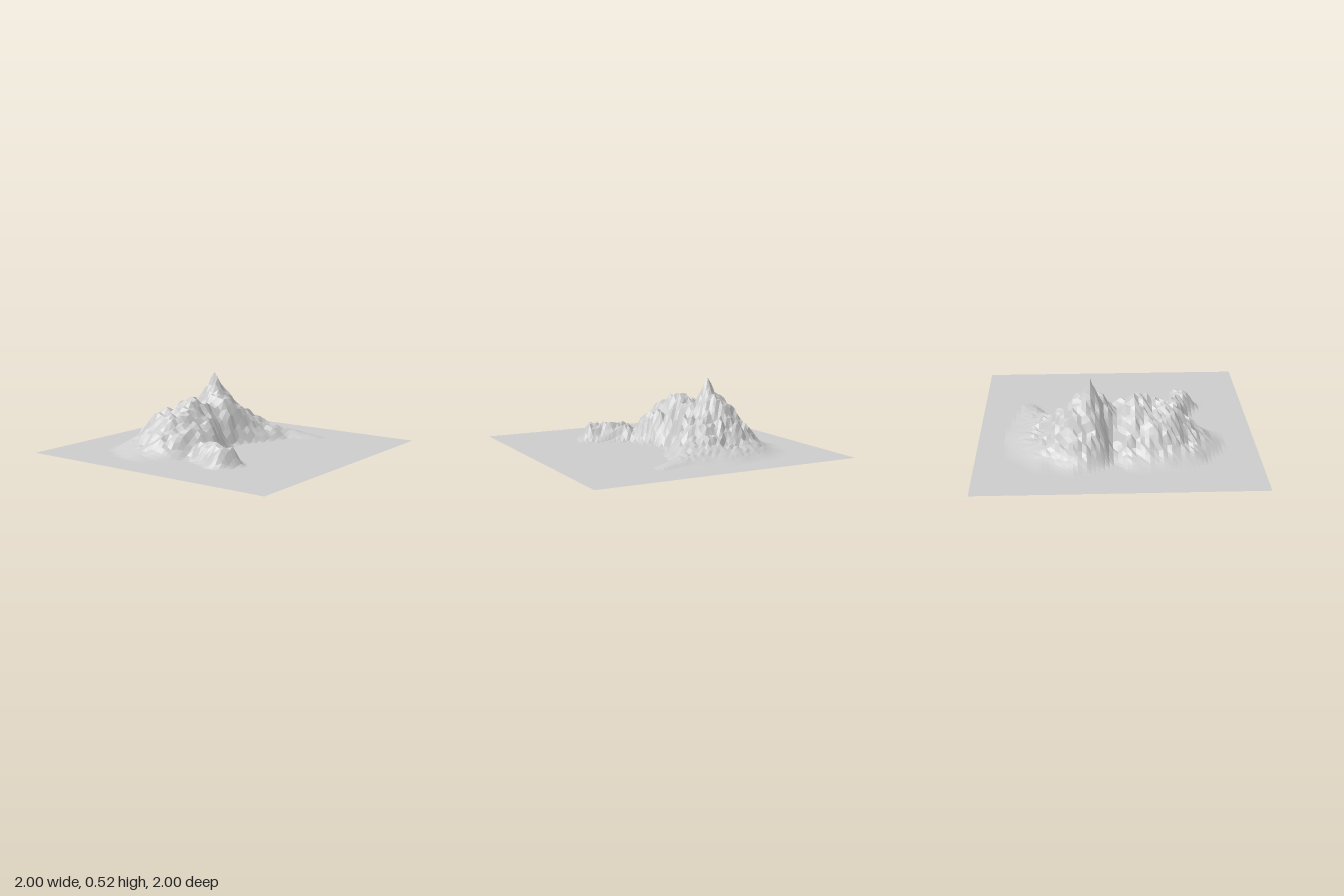
import * as THREE from 'three';

const GRID = 64;
const { lerp, smoothstep, clamp } = THREE.MathUtils;

// Cross-sections along z: [z, west foot x, ridge x, ridge height, shoulder x, shoulder height, east foot x]
const SECTIONS = [
  [-0.80, -0.45, -0.20, 0.00, 0.00, 0.00, 0.10],
  [-0.74, -0.58, -0.20, 0.02, 0.10, 0.012, 0.22],
  [-0.67, -0.64, -0.20, 0.05, 0.15, 0.045, 0.42],
  [-0.60, -0.69, -0.20, 0.09, 0.15, 0.06, 0.40],
  [-0.50, -0.73, -0.22, 0.16, 0.05, 0.09, 0.20],
  [-0.40, -0.76, -0.25, 0.25, 0.00, 0.13, 0.16],
  [-0.30, -0.78, -0.27, 0.37, -0.05, 0.21, 0.14],
  [-0.20, -0.77, -0.27, 0.45, -0.08, 0.26, 0.07],
  [-0.10, -0.67, -0.22, 0.39, -0.10, 0.27, 0.02],
  [-0.02, -0.61, -0.19, 0.28, -0.09, 0.21, 0.00],
  [0.08, -0.73, -0.20, 0.34, -0.08, 0.25, 0.03],
  [0.20, -0.76, -0.20, 0.35, -0.04, 0.22, 0.11],
  [0.30, -0.74, -0.22, 0.33, 0.00, 0.15, 0.16],
  [0.40, -0.73, -0.24, 0.30, -0.04, 0.15, 0.14],
  [0.50, -0.72, -0.28, 0.18, -0.10, 0.14, 0.04],
  [0.60, -0.67, -0.30, 0.09, -0.15, 0.08, -0.02],
  [0.70, -0.55, -0.30, 0.03, -0.20, 0.02, -0.10],
  [0.78, -0.40, -0.30, 0.00, -0.22, 0.00, -0.15],
];

// Repeatable lattice value in -1..1
function hash(i, j) {
  let n = Math.imul(i + 101, 374761393) ^ Math.imul(j + 211, 668265263);
  n = Math.imul(n ^ (n >>> 13), 1274126177);
  return ((n ^ (n >>> 16)) >>> 0) / 2147483648 - 1;
}

function noise(x, z) {
  const i = Math.floor(x), j = Math.floor(z);
  const u = smoothstep(x - i, 0, 1), v = smoothstep(z - j, 0, 1);
  return lerp(lerp(hash(i, j), hash(i + 1, j), u), lerp(hash(i, j + 1), hash(i + 1, j + 1), u), v);
}

// Smooth massif: gentle western flank, broken eastern cliff
function massif(x, z) {
  const k = SECTIONS.findIndex((s) => s[0] > z);
  if (k < 1) return 0;
  const a = SECTIONS[k - 1], b = SECTIONS[k];
  const t = (z - a[0]) / (b[0] - a[0]);
  const [, west, ridge, top, shoulder, step, east] = a.map((v, i) => lerp(v, b[i], t));
  if (x <= west || x >= east) return 0;
  if (x < ridge) return top * smoothstep(x, west, ridge);
  if (x < shoulder) return lerp(top, step, (x - ridge) / (shoulder - ridge));
  return step * (1 - (x - shoulder) / (east - shoulder));
}

// Low rocky spur reaching out at the front
function spur(x, z) {
  const ax = 0.12, az = 0.42, dx = 0.19, dz = 0.08;
  const t = clamp(((x - ax) * dx + (z - az) * dz) / (dx * dx + dz * dz), 0, 1);
  const d = Math.hypot(x - ax - t * dx, z - az - t * dz);
  return 0.12 * (1 - smoothstep(d, 0.03, 0.15));
}

function height(x, z, i, j) {
  const wx = x + 0.02 * noise(x * 9 + 40, z * 9);
  const wz = z + 0.02 * noise(x * 9, z * 9 + 40);
  const h = Math.max(massif(wx, wz), spur(wx, wz));
  if (h <= 0) return 0;
  // Crags fade out toward the smooth skirt
  const rough = smoothstep(h, 0.01, 0.14);
  const crags = 0.025 * noise(x * 8, z * 8) + 0.02 * noise(x * 16, z * 16) + 0.02 * hash(i, j);
  // Sharp summit
  const summit = 0.05 * Math.max(0, 1 - Math.hypot(x + 0.28, z + 0.19) / 0.06);
  return Math.max(0, h + rough * (crags - 0.003) + summit);
}

export function createModel() {
  const group = new THREE.Group();
  group.name = 'mountainTerrain';

  // Ground sheet raised into the mountain
  const geometry = new THREE.PlaneGeometry(2, 2, GRID, GRID).rotateX(-Math.PI / 2);
  const p = geometry.attributes.position;
  for (let n = 0; n < p.count; n++) {
    const i = n % (GRID + 1), j = Math.floor(n / (GRID + 1));
    p.setY(n, height(p.getX(n), p.getZ(n), i, j));
  }
  geometry.computeVertexNormals();

  const material = new THREE.MeshStandardMaterial({
    color: 0xcccccc, flatShading: true, side: THREE.DoubleSide,
  });
  const terrain = new THREE.Mesh(geometry, material);
  terrain.name = 'terrain';
  group.add(terrain);
  return group;
}
